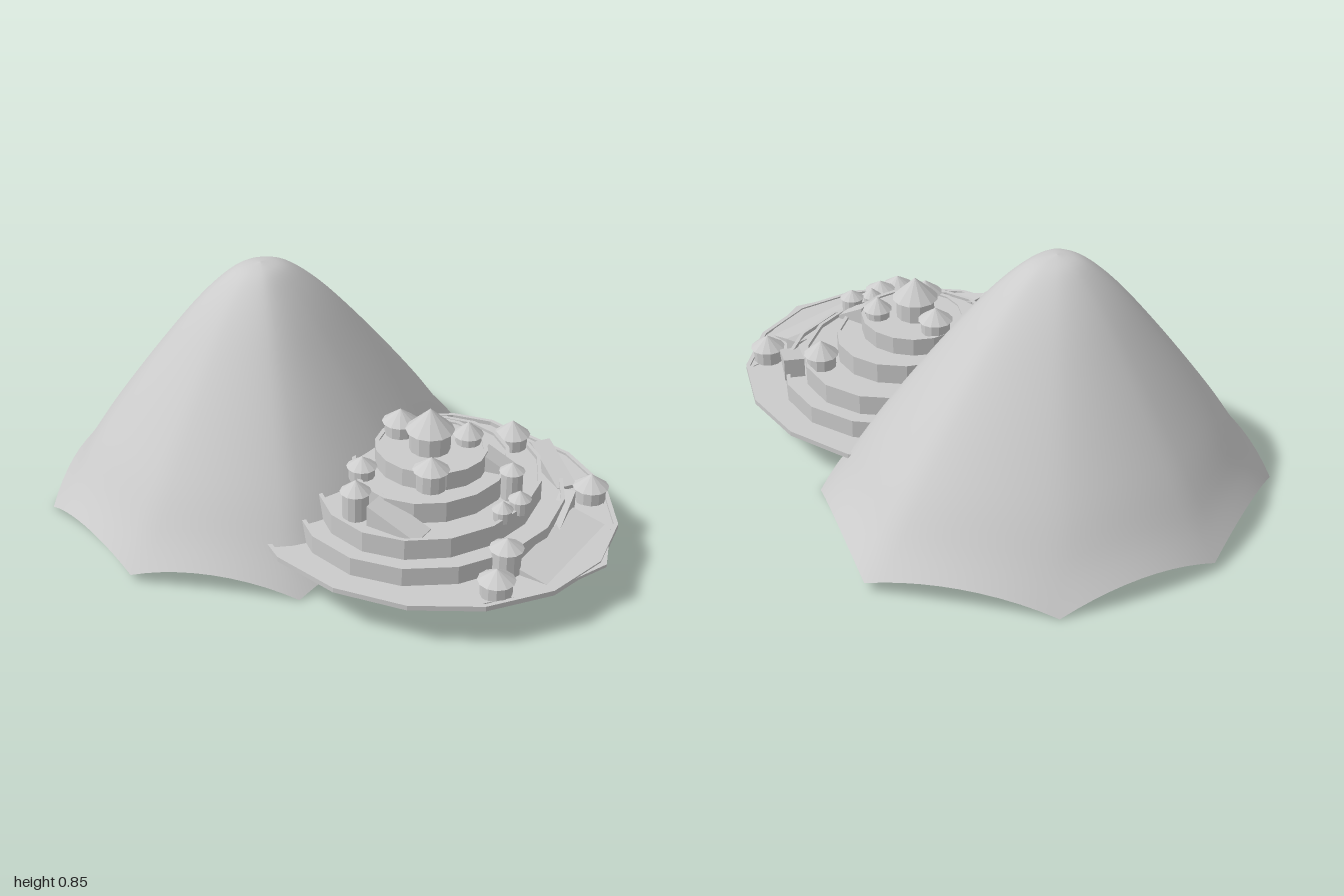
import * as THREE from 'three';

const stone = new THREE.MeshStandardMaterial({ color: 0xcccccc, flatShading: true });
const smooth = new THREE.MeshStandardMaterial({ color: 0xcccccc, side: THREE.DoubleSide });
const CX = 0.36, CZ = 0.06;

function add(parent, name, geometry, material = stone) {
  const mesh = new THREE.Mesh(geometry, material);
  mesh.name = name;
  parent.add(mesh);
  return mesh;
}

// Open hill shell: a round summit spreading to eight feet with arches between
function hillGeometry() {
  const feet = [[0.34, 0.03, 0.05], [0.19, 0, 0.57], [-0.32, 0.025, 0.78], [-0.82, 0, 0.58],
    [-1, 0.025, 0.05], [-0.82, 0, -0.47], [-0.3, 0.03, -0.79], [0.2, 0, -0.53]]
    .map(p => new THREE.Vector3(...p));
  const round = new THREE.CatmullRomCurve3(feet, true, 'catmullrom', 0.5);
  const profile = new THREE.SplineCurve([[0, 0.85], [0.1, 0.833], [0.2, 0.78], [0.32, 0.69], [0.47, 0.555],
    [0.62, 0.41], [0.77, 0.255], [0.9, 0.105], [1, 0]].map(p => new THREE.Vector2(...p)));
  const rings = 32, per = 10, n = 8 * per;
  const pos = [], index = [];
  for (let i = 0; i <= rings; i++) {
    const { x: t, y: h } = profile.getPoint(i / rings);
    for (let j = 0; j < n; j++) {
      const k = Math.floor(j / per), u = (j % per) / per;
      const edge = feet[k].clone().lerp(feet[(k + 1) % 8], u);
      const arch = edge.y + 0.055 * 4 * u * (1 - u);
      edge.lerp(round.getPoint(j / n), 1 - 0.75 * t * t);
      pos.push(-0.3 + (edge.x + 0.3) * t, h + arch * t ** 4, CZ + (edge.z - CZ) * t);
      if (i < rings) {
        const a = i * n + j, b = i * n + (j + 1) % n;
        index.push(a, b, a + n, b, b + n, a + n);
      }
    }
  }
  const g = new THREE.BufferGeometry();
  g.setAttribute('position', new THREE.Float32BufferAttribute(pos, 3));
  g.setIndex(index);
  g.computeVertexNormals();
  return g;
}

// Sixteen-sided terrace with a thin raised rim
function terrace(parent, name, rx, rz, bottom, top, rim) {
  const w = 0.014;
  const pts = [[0, bottom], [rz, bottom], [rz, top], [rz - w, top], [rz - w, top - rim], [0, top - rim]]
    .map(p => new THREE.Vector2(...p));
  const mesh = add(parent, name, new THREE.LatheGeometry(pts, 16));
  mesh.scale.x = rx / rz;
  mesh.position.set(CX, 0, CZ);
}

// Round house with a conical roof
function house(parent, name, x, z, r, base, eave, apex) {
  const g = new THREE.Group();
  g.name = name;
  g.position.set(x, 0, z);
  const h = eave - base;
  add(g, 'houseWall', new THREE.CylinderGeometry(r * 0.84, r * 0.84, h, 12)).position.y = base + h / 2;
  add(g, 'houseRoof', new THREE.ConeGeometry(r, apex - eave, 12)).position.y = (eave + apex) / 2;
  parent.add(g);
}

// Wedge rising from a low point to a high point
function ramp(parent, name, [x0, y0, z0], [x1, y1, z1], width) {
  const len = Math.hypot(x1 - x0, z1 - z0);
  const s = new THREE.Shape();
  s.moveTo(0, -0.012);
  s.lineTo(len, -0.012);
  s.lineTo(len, y1 - y0);
  s.lineTo(0, 0);
  const g = new THREE.ExtrudeGeometry(s, { depth: width, bevelEnabled: false });
  g.translate(0, 0, -width / 2);
  const mesh = add(parent, name, g);
  mesh.position.set(x0, y0, z0);
  mesh.rotation.y = -Math.atan2(z1 - z0, x1 - x0);
}

export function createModel() {
  const model = new THREE.Group();
  model.name = 'hillsideVillage';
  add(model, 'hill', hillGeometry(), smooth);

  // Stacked terraces: x radius, z radius, bottom, top, rim height
  const village = new THREE.Group();
  village.name = 'village';
  model.add(village);
  [[0.62, 0.575, 0.135, 0.152, 0.008], [0.43, 0.48, 0.14, 0.207, 0.014], [0.35, 0.412, 0.18, 0.263, 0.014],
    [0.25, 0.285, 0.24, 0.32, 0.01], [0.185, 0.178, 0.3, 0.372, 0.006]]
    .forEach((t, i) => terrace(village, 'terrace' + (i + 1), ...t));

  // Houses: x, z, roof radius, base, eave, apex
  house(village, 'mainHouse', 0.36, 0.07, 0.08, 0.36, 0.435, 0.51);
  [[0.23, 0.04, 0.06, 0.36, 0.41, 0.455], [0.445, -0.03, 0.05, 0.36, 0.395, 0.44],
    [0.44, 0.195, 0.06, 0.31, 0.375, 0.42], [0.635, 0.02, 0.042, 0.25, 0.345, 0.375],
    [0.695, 0.075, 0.038, 0.245, 0.29, 0.32], [0.675, 0.15, 0.035, 0.245, 0.285, 0.315],
    [0.22, 0.255, 0.05, 0.3, 0.345, 0.38], [0.28, 0.385, 0.05, 0.245, 0.34, 0.38],
    [0.485, -0.26, 0.06, 0.24, 0.295, 0.345], [0.755, 0.265, 0.055, 0.15, 0.235, 0.27],
    [0.785, 0.38, 0.06, 0.14, 0.195, 0.235], [0.785, -0.255, 0.06, 0.14, 0.195, 0.24]]
    .forEach(h => house(village, 'house', ...h));

  // Ramps linking the terraces
  ramp(village, 'gateRamp', [0.9, 0.146, 0.06], [0.78, 0.172, 0.06], 0.4);
  ramp(village, 'lowerRamp', [0.79, 0.155, 0.06], [0.74, 0.205, -0.18], 0.05);
  ramp(village, 'backRamp', [0.72, 0.195, -0.21], [0.56, 0.263, -0.32], 0.07);
  ramp(village, 'frontRamp', [0.52, 0.252, 0.37], [0.34, 0.32, 0.37], 0.09);
  ramp(village, 'upperRamp', [0.62, 0.315, -0.03], [0.52, 0.372, -0.01], 0.07);

  // Pointed gate slab at the outer edge
  const tip = new THREE.Shape([[0.78, -0.33], [0.92, -0.13], [1, 0.06], [0.92, 0.27], [0.78, 0.45]]
    .map(([x, z]) => new THREE.Vector2(x, -z)));
  const gate = add(village, 'gateSlab', new THREE.ExtrudeGeometry(tip, { depth: 0.01, bevelEnabled: false }));
  gate.rotation.x = -Math.PI / 2;
  gate.position.y = 0.137;
  return model;
}
